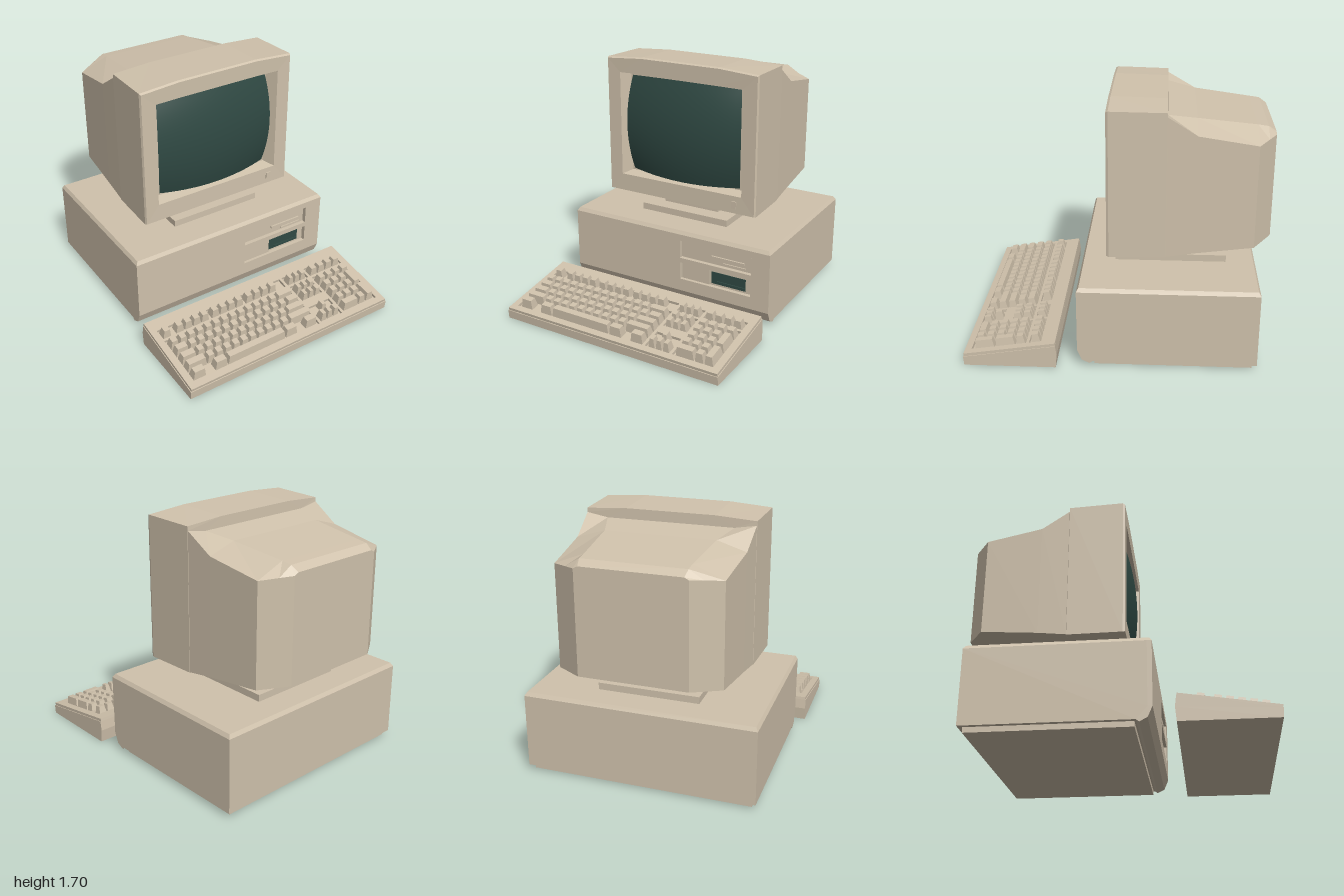
import * as THREE from 'three';

const mat = (name, color, side = THREE.FrontSide) => {
  const m = new THREE.MeshStandardMaterial({ color, side });
  m.name = name;
  return m;
};

// Flat-shaded skin through rings of equal point count, ordered back to front
function loft(rings) {
  const pos = [], n = rings[0].length;
  for (let r = 0; r + 1 < rings.length; r++) {
    const A = rings[r], B = rings[r + 1];
    for (let i = 0; i < n; i++) {
      const j = (i + 1) % n;
      pos.push(...A[i], ...A[j], ...B[j], ...A[i], ...B[j], ...B[i]);
    }
  }
  const a = rings[0], b = rings[rings.length - 1];
  for (let i = 1; i + 1 < n; i++) {
    pos.push(...a[0], ...a[i + 1], ...a[i]);
    pos.push(...b[0], ...b[i], ...b[i + 1]);
  }
  const g = new THREE.BufferGeometry();
  g.setAttribute('position', new THREE.Float32BufferAttribute(pos, 3));
  g.computeVertexNormals();
  return g;
}

// Six-point ring: flat bottom, upright sides, chamfered or bowed top
const ring = (z, w, yb, ys, xc, yt) => [
  [-w, yb, z], [w, yb, z], [w, ys, z], [xc, yt, z], [-xc, yt, z], [-w, ys, z],
];

// Box given by its limits, with the top drawn in by inset
function block(x0, x1, y0, y1, z0, z1, inset = 0) {
  const g = new THREE.BoxGeometry(x1 - x0, y1 - y0, z1 - z0);
  const p = g.attributes.position;
  for (let i = 0; i < p.count; i++) {
    if (p.getY(i) > 0) {
      p.setX(i, p.getX(i) - Math.sign(p.getX(i)) * inset);
      p.setZ(i, p.getZ(i) - Math.sign(p.getZ(i)) * inset);
    }
  }
  g.computeVertexNormals();
  return g.translate((x0 + x1) / 2, (y0 + y1) / 2, (z0 + z1) / 2);
}

// Side profile of [z, y] points stretched from x0 to x1
function sideExtrude(points, x0, x1) {
  const s = new THREE.Shape(points.map(([z, y]) => new THREE.Vector2(-z, y)));
  return new THREE.ExtrudeGeometry(s, { depth: x1 - x0, bevelEnabled: false })
    .rotateY(Math.PI / 2).translate(x0, 0, 0);
}

// Plate in XY with rectangular holes, each rectangle as [x0, x1, y0, y1]
function plate(outer, holes, depth) {
  const rect = (P, [x0, x1, y0, y1]) => new P(
    [[x0, y0], [x1, y0], [x1, y1], [x0, y1]].map(([x, y]) => new THREE.Vector2(x, y)));
  const s = rect(THREE.Shape, outer);
  s.holes = holes.map(h => rect(THREE.Path, h));
  return new THREE.ExtrudeGeometry(s, { depth, bevelEnabled: false });
}

export function createModel() {
  const beige = mat('beige plastic', 0xd0c2ac);
  const glass = mat('dark green glass', 0x304a44, THREE.DoubleSide);
  const model = new THREE.Group();
  model.name = 'desktopComputer';
  const group = name => {
    const g = new THREE.Group();
    g.name = name;
    model.add(g);
    return g;
  };
  const add = (parent, name, geo, m = beige) => {
    const mesh = new THREE.Mesh(geo, m);
    mesh.name = name;
    parent.add(mesh);
    return mesh;
  };

  // Monitor: tapered back, hood, bezel and sunken screen surround in one skin
  const monitor = group('monitor');
  add(monitor, 'monitorHousing', loft([
    ring(-1.0, 0.36, 0.78, 1.475, 0.33, 1.49),
    ring(-0.95, 0.435, 0.775, 1.467, 0.34, 1.525),
    ring(-0.88, 0.54, 0.768, 1.455, 0.34, 1.535),
    ring(-0.5, 0.563, 0.73, 1.52, 0.37, 1.58),
    ring(-0.312, 0.573, 0.705, 1.64, 0.43, 1.615),
    ring(-0.31, 0.575, 0.702, 1.668, 0.3, 1.685),
    ring(0.055, 0.585, 0.7, 1.675, 0.3, 1.695),
    ring(0.07, 0.578, 0.705, 1.667, 0.3, 1.687),
    ring(0.068, 0.48, 0.828, 1.575, 0.3, 1.578),
    ring(-0.015, 0.44, 0.845, 1.558, 0.3, 1.56),
  ]));
  // Domed screen with barrel-shaped edges
  const screen = new THREE.PlaneGeometry(2, 2, 20, 16);
  const sp = screen.attributes.position;
  for (let i = 0; i < sp.count; i++) {
    const u = sp.getX(i), v = sp.getY(i);
    sp.setXYZ(i, u * (0.452 - 0.025 * v * v), 1.202 + v * (0.362 - 0.018 * u * u),
      0.09 - 0.055 * u * u - 0.05 * v * v);
  }
  screen.computeVertexNormals();
  add(monitor, 'screen', screen, glass);
  add(monitor, 'powerButton', block(0.41, 0.445, 0.74, 0.79, 0.06, 0.076));

  // Swivel stand
  const stand = group('monitorStand');
  add(stand, 'standNeck', block(-0.213, 0.222, 0.61, 0.75, -0.65, -0.085));
  add(stand, 'standFoot', block(-0.335, 0.352, 0.56, 0.617, -0.72, 0.025));

  // Main case with rounded chin, bevelled lid and inset underside
  const X0 = -0.765, X1 = 0.79;
  const unit = group('systemUnit');
  add(unit, 'caseBody', sideExtrude([
    [-0.92, 0.04], [0.15, 0.04], [0.17, 0.025], [0.22, 0.05], [0.25, 0.12],
    [0.22, 0.12], [0.22, 0.545], [-0.92, 0.545],
  ], X0, X1));
  add(unit, 'caseLid', block(X0, X1, 0.545, 0.57, -0.92, 0.25, 0.015));
  add(unit, 'caseBase', block(X0 + 0.03, X1 - 0.03, 0.005, 0.05, -0.89, 0.14));
  add(unit, 'frontPanel', plate([X0, X1, 0.12, 0.545],
    [[0.11, 0.655, 0.37, 0.5], [0.11, 0.655, 0.21, 0.335]], 0.03).translate(0, 0, 0.22));
  // Drive bays
  add(unit, 'upperDriveFace', block(0.12, 0.645, 0.378, 0.492, 0.215, 0.23));
  add(unit, 'upperDriveSlot', block(0.35, 0.6, 0.422, 0.437, 0.225, 0.242));
  add(unit, 'upperDriveLatch', block(0.44, 0.61, 0.39, 0.4, 0.225, 0.238));
  add(unit, 'lowerDriveFace', block(0.12, 0.335, 0.215, 0.328, 0.215, 0.235));
  add(unit, 'lowerDriveOpening', block(0.345, 0.605, 0.225, 0.312, 0.215, 0.224), glass);
  add(unit, 'lowerDriveLatch', block(0.39, 0.6, 0.245, 0.25, 0.22, 0.232), glass);

  // Keyboard: wedge body with a tilted top plate cut open around the keys
  const keyboard = group('keyboard');
  add(keyboard, 'keyboardBody', sideExtrude([
    [0.39, 0], [0.995, 0], [1, 0.06], [0.39, 0.158], [0.382, 0.09],
  ], -0.815, 0.815));
  const deck = new THREE.Group();
  deck.name = 'keyDeck';
  deck.position.set(0, 0.06, 1);
  deck.rotation.x = Math.atan(0.16);
  keyboard.add(deck);
  const along = z => (1 - z) * 1.0127;
  add(deck, 'keyboardTopPlate', plate([-0.81, 0.81, 0.005, along(0.39)], [
    [-0.765, 0.247, along(0.95), along(0.583)], [-0.765, 0.247, along(0.565), along(0.485)],
    [0.268, 0.448, along(0.73), along(0.583)], [0.268, 0.448, along(0.95), along(0.8)],
    [0.268, 0.448, along(0.565), along(0.485)],
    [0.468, 0.76, along(0.95), along(0.583)], [0.468, 0.76, along(0.565), along(0.485)],
  ], 0.02).rotateX(-Math.PI / 2));

  // Keycaps: each row is a start x and a list of widths, negative for a gap
  const key = (x, w, z, d = 0.06) => add(deck, 'key',
    block(x + 0.004, x + w - 0.004, 0, 0.063, -along(z), -along(z + d), 0.009));
  const row = (x, z, widths, unitWidth) => widths.forEach(w => {
    if (w > 0) key(x, w * unitWidth, z);
    x += Math.abs(w) * unitWidth;
  });
  const U = 0.0664, ones = n => Array(n).fill(1);
  const Z = [0.494, 0.594, 0.663, 0.732, 0.801, 0.87];
  row(-0.755, Z[0], [1, -0.5, ...ones(4), -0.25, ...ones(4), -0.25, ...ones(4), -1], U);
  row(-0.755, Z[1], [...ones(13), 2], U);
  row(-0.755, Z[2], [1.5, ...ones(12), 1.5], U);
  row(-0.755, Z[3], [1.75, ...ones(11), 2.25], U);
  row(-0.755, Z[4], [2.25, ...ones(10), 2.75], U);
  row(-0.755, Z[5], [1.5, -1, 1.5, 7, 1.5, -1, 1.5], U);
  // Navigation and arrow keys
  for (const i of [0, 1, 2]) row(0.278, Z[i], ones(3), 0.053);
  row(0.278, Z[4], [-1, 1], 0.053);
  row(0.278, Z[5], ones(3), 0.053);
  // Number pad
  const P = 0.068;
  row(0.478, Z[0], ones(4), P);
  row(0.478, Z[1], ones(4), P);
  for (const i of [2, 3, 4]) row(0.478, Z[i], ones(3), P);
  row(0.478, Z[5], [2, 1], P);
  for (const i of [2, 4]) key(0.478 + 3 * P, P, Z[i], 0.129);

  return model;
}
